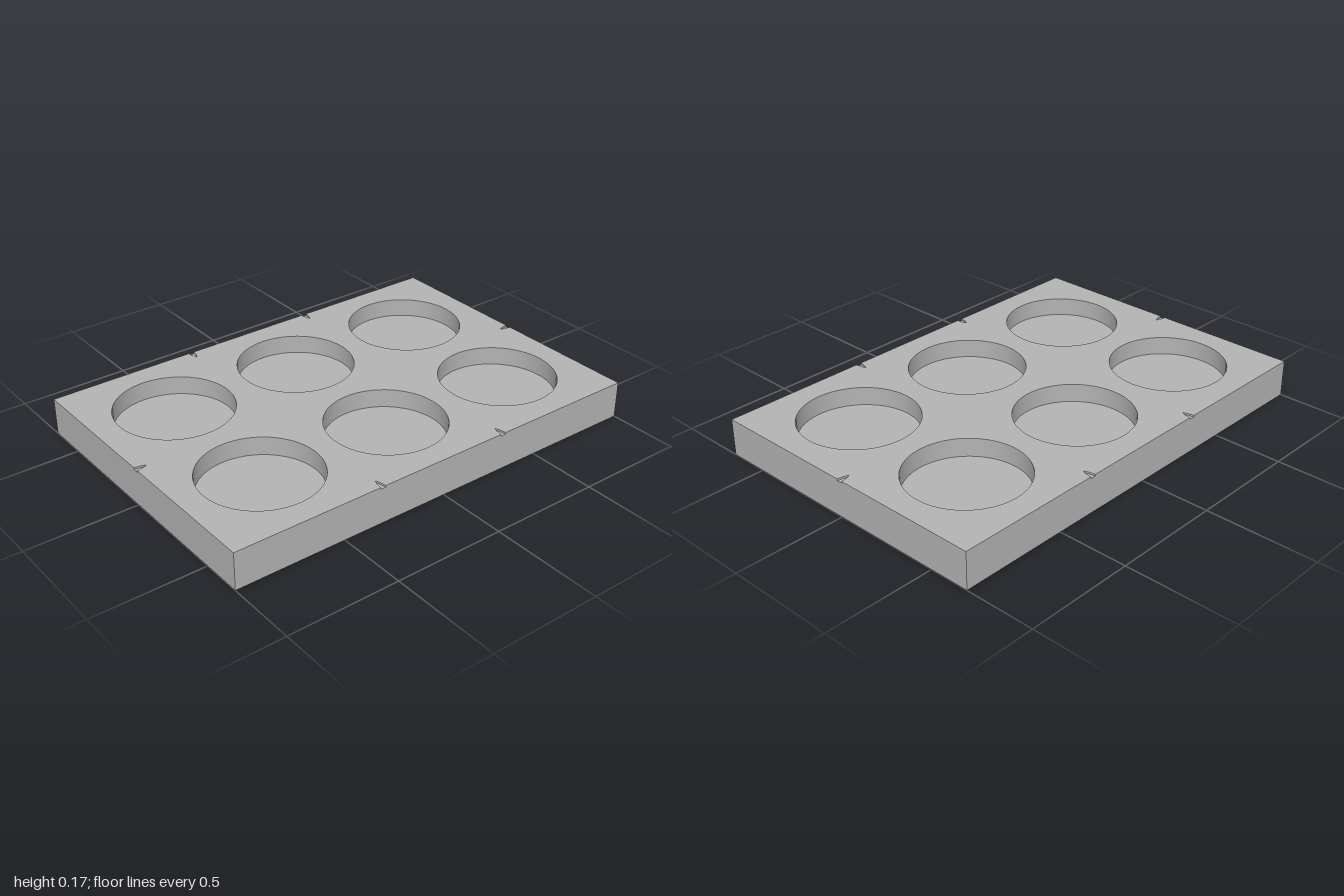
import * as THREE from 'three';
import { toCreasedNormals } from 'three/addons/utils/BufferGeometryUtils.js';

const W = 1, D = 0.683;                 // half width and half depth
const H = 0.168, FLOOR = 0.084;         // tray height and pocket floor height
const MARK = 0.008;                     // depth of the engraved edge marks
const PITCH = 0.63, RADIUS = 0.26;
const TIP = 0.05, HALF = 0.013;         // length and half width of a mark

// Tray outline, optionally with a pointed notch at each row and column boundary
function outline(notched) {
  const sides = [
    { from: [-W, -D], dir: [1, 0], length: 2 * W, marks: [W - PITCH / 2, W + PITCH / 2] },
    { from: [W, -D], dir: [0, 1], length: 2 * D, marks: [D] },
    { from: [W, D], dir: [-1, 0], length: 2 * W, marks: [W - PITCH / 2, W + PITCH / 2] },
    { from: [-W, D], dir: [0, -1], length: 2 * D, marks: [D] },
  ];
  const points = [];
  for (const { from, dir, marks } of sides) {
    const at = (along, inward) => points.push(new THREE.Vector2(
      from[0] + dir[0] * along - dir[1] * inward,
      from[1] + dir[1] * along + dir[0] * inward));
    at(0, 0);
    if (notched) for (const m of marks) {
      at(m - HALF, 0);
      at(m - HALF * 0.6, TIP * 0.6);
      at(m, TIP);
      at(m + HALF * 0.6, TIP * 0.6);
      at(m + HALF, 0);
    }
  }
  return new THREE.Shape(points);
}

// Horizontal slab between two heights, with the six round pockets cut through
function pocketLayer(y0, y1, notched) {
  const shape = outline(notched);
  for (const x of [-PITCH, 0, PITCH]) {
    for (const z of [-PITCH / 2, PITCH / 2]) {
      const hole = new THREE.Path();
      hole.absarc(x, z, RADIUS, 0, Math.PI * 2, true);
      shape.holes.push(hole);
    }
  }
  const geometry = new THREE.ExtrudeGeometry(shape, {
    depth: y1 - y0, bevelEnabled: false, curveSegments: 64,
  });
  geometry.rotateX(-Math.PI / 2).translate(0, y0, 0);
  return toCreasedNormals(geometry, 0.4);
}

export function createModel() {
  const model = new THREE.Group();
  model.name = 'sixPocketTray';
  const grey = new THREE.MeshStandardMaterial({ color: 0xb3b3b3 });
  grey.name = 'grey';

  const add = (name, geometry) => {
    const mesh = new THREE.Mesh(geometry, grey);
    mesh.name = name;
    model.add(mesh);
  };

  // Solid base, whose top forms the pocket floors
  add('trayBase', new THREE.BoxGeometry(2 * W, FLOOR, 2 * D).translate(0, FLOOR / 2, 0));
  // Pocket walls
  add('pocketWalls', pocketLayer(FLOOR, H - MARK, false));
  // Top face with the shallow alignment marks
  add('markedTop', pocketLayer(H - MARK, H, true));
  return model;
}
